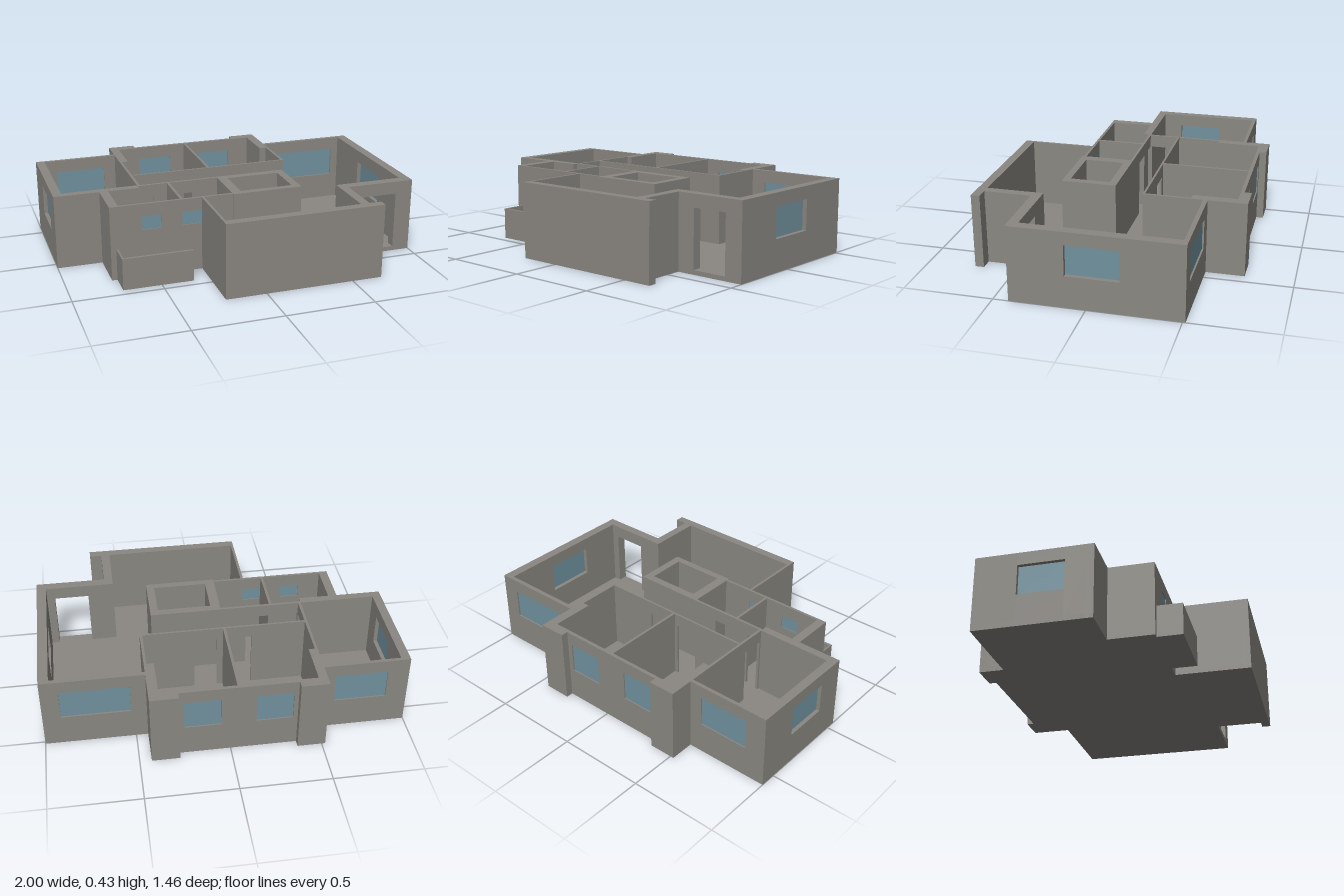
import * as THREE from 'three';

const H = 0.425, FLOOR = 0.025;
const SILL = 0.18, HEAD = 0.352;

export function createModel() {
  const model = new THREE.Group();
  model.name = 'apartmentFloor';
  const plaster = new THREE.MeshStandardMaterial({ color: 0x8b8882 });
  plaster.name = 'plaster grey';
  const glass = new THREE.MeshStandardMaterial({ color: 0x71929f });
  glass.name = 'window blue';

  const box = (parent, name, mat, x0, x1, y0, y1, z0, z1) => {
    const m = new THREE.Mesh(new THREE.BoxGeometry(x1 - x0, y1 - y0, z1 - z0), mat);
    m.position.set((x0 + x1) / 2, (y0 + y1) / 2, (z0 + z1) / 2);
    m.name = name;
    parent.add(m);
  };

  // Straight wall along its longer side; openings are [start, end, bottom, top, glazed]
  const wall = (name, x0, x1, z0, z1, openings = [], h = H) => {
    const g = new THREE.Group();
    g.name = name;
    model.add(g);
    const alongX = x1 - x0 > z1 - z0;
    const piece = (part, mat, a, b, y0, y1, inset = 0) => alongX
      ? box(g, part, mat, a, b, y0, y1, z0 + inset, z1 - inset)
      : box(g, part, mat, x0 + inset, x1 - inset, y0, y1, a, b);
    const thick = alongX ? z1 - z0 : x1 - x0;
    let from = alongX ? x0 : z0;
    for (const [a, b, bottom, top, glazed] of openings) {
      piece('wallPanel', plaster, from, a, 0, h);
      piece('sill', plaster, a, b, 0, bottom);
      piece('lintel', plaster, a, b, top, h);
      if (glazed) piece('windowPane', glass, a, b, bottom, top, thick / 2 - 0.003);
      from = b;
    }
    piece('wallPanel', plaster, from, alongX ? x1 : z1, 0, h);
  };
  const win = (a, b, bottom = SILL, top = HEAD) => [a, b, bottom, top, true];
  const door = (a, b) => [a, b, FLOOR, HEAD, false];

  // Extruded plan: outline in x and z, laid flat
  const slab = (name, points, holes, h) => {
    const toV = p => p.map(([x, z]) => new THREE.Vector2(x, z));
    const shape = new THREE.Shape(toV(points));
    holes.forEach(p => shape.holes.push(new THREE.Path(toV(p))));
    const geo = new THREE.ExtrudeGeometry(shape, { depth: h, bevelEnabled: false });
    geo.rotateX(Math.PI / 2).translate(0, h, 0);
    const m = new THREE.Mesh(geo, plaster);
    m.name = name;
    model.add(m);
  };
  const rect = (x0, x1, z0, z1) => [[x0, z0], [x1, z0], [x1, z1], [x0, z1]];

  // Floor slab
  slab('floor', [
    [-1, -0.59], [-0.52, -0.59], [-0.52, -0.73], [-0.365, -0.73], [-0.365, -0.69],
    [0.28, -0.69], [0.28, -0.73], [0.435, -0.73], [0.435, -0.515], [1, -0.515],
    [1, 0.415], [0.6, 0.415], [0.6, 0.73], [-0.23, 0.73], [-0.23, 0.31],
    [-0.32, 0.31], [-0.32, 0.45], [-0.715, 0.45], [-0.715, 0.31], [-0.745, 0.31],
    [-0.745, 0.055], [-1, 0.055],
  ], [], FLOOR);

  // Side bedroom
  wall('sideRoomOuterWall', -1, -0.95, -0.59, 0.055, [win(-0.355, -0.1)]);
  wall('sideRoomBackWall', -1, -0.52, -0.59, -0.57, [win(-0.88, -0.59)]);
  wall('sideRoomFrontWall', -1, -0.52, 0.01, 0.055);
  wall('sideRoomInnerWall', -0.52, -0.505, -0.59, 0.025, [door(-0.13, 0)]);

  // Twin back bedrooms with corner piers
  wall('backWall', -0.52, 0.435, -0.69, -0.67, [win(-0.34, -0.14), win(0.05, 0.25)]);
  wall('backPier', -0.52, -0.365, -0.73, -0.69);
  wall('backPier', 0.28, 0.435, -0.73, -0.69);
  wall('bedroomSideWall', -0.52, -0.47, -0.69, -0.425);
  wall('bedroomSideWall', 0.38, 0.435, -0.69, -0.425);
  wall('bedroomSideWall', 0.42, 0.435, -0.425, -0.16);
  wall('bedroomPartition', -0.05, -0.035, -0.67, -0.17);
  wall('corridorBackWall', -0.505, 0.435, -0.172, -0.16, [door(-0.2, -0.07), door(0, 0.13)]);

  // Small front rooms
  wall('corridorFrontWall', -0.745, -0.045, 0.01, 0.025, [door(-0.56, -0.43), door(-0.33, -0.2)]);
  wall('smallRoomSideWall', -0.745, -0.695, 0.01, 0.31);
  wall('smallRoomPartition', -0.35, -0.335, 0.025, 0.295);
  wall('smallRoomFrontWall', -0.745, -0.045, 0.295, 0.31,
    [win(-0.57, -0.46, 0.275, HEAD), win(-0.34, -0.225, 0.275, HEAD)]);

  // Hollow shaft in the middle
  slab('shaft', rect(-0.05, 0.355, 0.01, 0.32), [rect(0.005, 0.31, 0.055, 0.28)], H);

  // Living room
  wall('livingBackWall', 0.435, 1, -0.515, -0.49, [win(0.52, 0.9)]);
  wall('livingSideWall', 0.945, 1, -0.515, 0.415, [win(-0.18, 0.11)]);
  wall('entranceWall', 0.55, 1, 0.36, 0.415, [door(0.7, 0.9)]);
  wall('livingReturnWall', 0.55, 0.6, 0.36, 0.73);
  wall('livingFrontWall', -0.23, 0.67, 0.68, 0.73);
  wall('livingThinWall', -0.23, -0.215, 0.31, 0.73);

  // Low balcony parapet
  wall('balconyFrontParapet', -0.715, -0.32, 0.435, 0.45, [], SILL);
  wall('balconySideParapet', -0.715, -0.705, 0.31, 0.45, [], SILL);

  return model;
}
